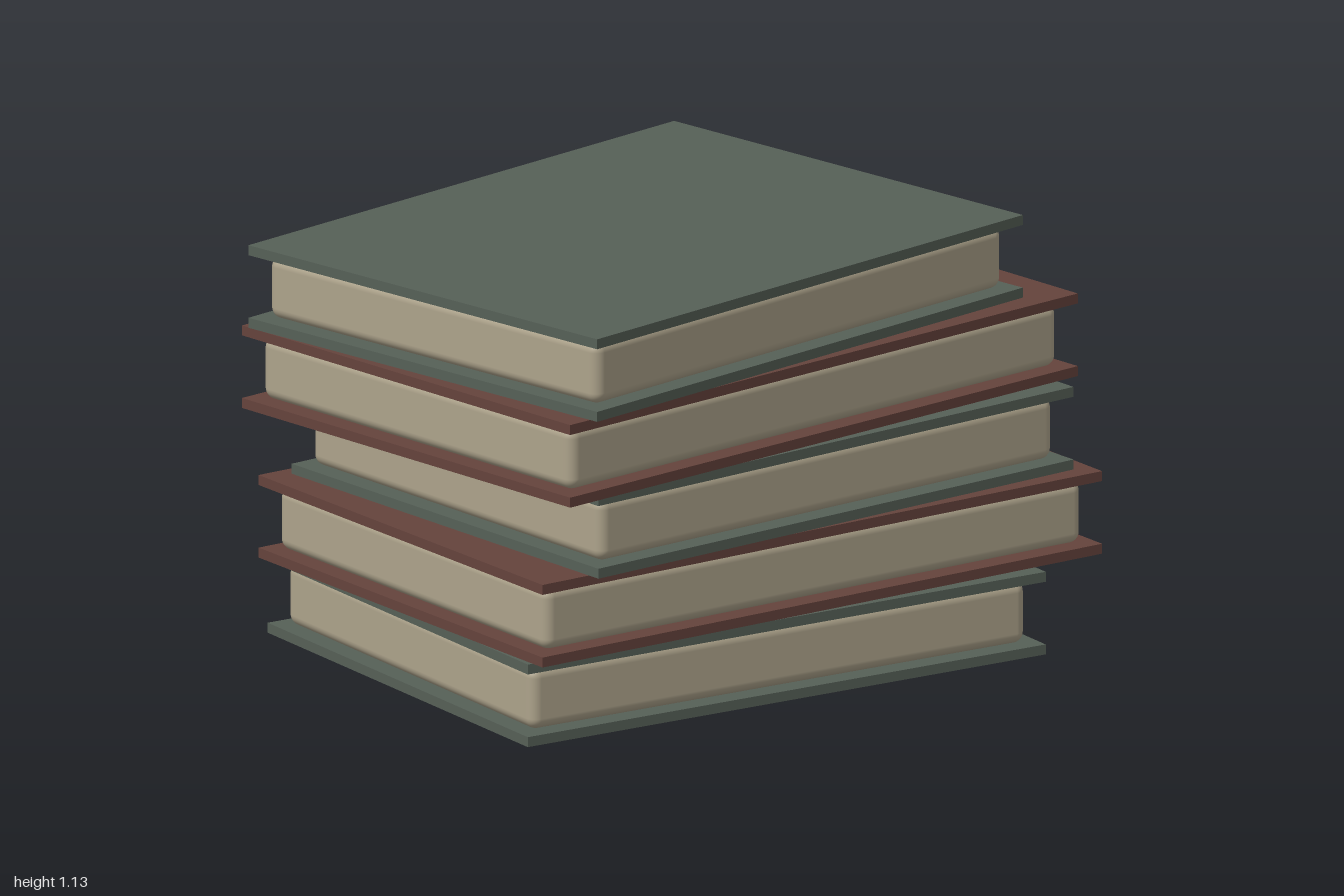
import * as THREE from 'three';
import { RoundedBoxGeometry } from 'three/addons/geometries/RoundedBoxGeometry.js';

const COVER = 0.027; // cover board thickness
const HEIGHT = 0.224; // height of one closed book
const PITCH = 0.227; // vertical spacing of the stack
const DEPTH = 1.26;
const INSET = 0.07; // total amount the pages are smaller than the covers

const colour = (name, hex) => {
  const m = new THREE.MeshStandardMaterial({ color: hex });
  m.name = name;
  return m;
};

export function createModel() {
  const green = colour('greyGreenCover', 0x566057);
  const maroon = colour('maroonCover', 0x65433c);
  const paper = colour('paper', 0xada38b);

  // One closed book: two boards around a soft-edged page block
  function makeBook(width, coverMaterial) {
    const book = new THREE.Group();
    const add = (name, geometry, material, y) => {
      const mesh = new THREE.Mesh(geometry, material);
      mesh.name = name;
      mesh.position.y = y;
      book.add(mesh);
    };
    const board = new THREE.BoxGeometry(width, COVER, DEPTH);
    const pages = new RoundedBoxGeometry(width - INSET, HEIGHT - 2 * COVER, DEPTH - INSET, 4, 0.03);
    add('bottomCover', board, coverMaterial, COVER / 2);
    add('pageBlock', pages, paper, HEIGHT / 2);
    add('topCover', board, coverMaterial, HEIGHT - COVER / 2);
    return book;
  }

  // Stack from bottom to top, each book turned a little further
  const stack = new THREE.Group();
  stack.name = 'bookStack';
  const offsets = [-0.01, 0.063, 0.07, 0, -0.075];
  offsets.forEach((x, i) => {
    const odd = i % 2 === 1;
    const book = makeBook(odd ? 1.8 : 1.6, odd ? maroon : green);
    book.name = `book${i + 1}`;
    book.position.set(x, i * PITCH, 0);
    book.rotation.y = i * 0.0593;
    stack.add(book);
  });
  return stack;
}
